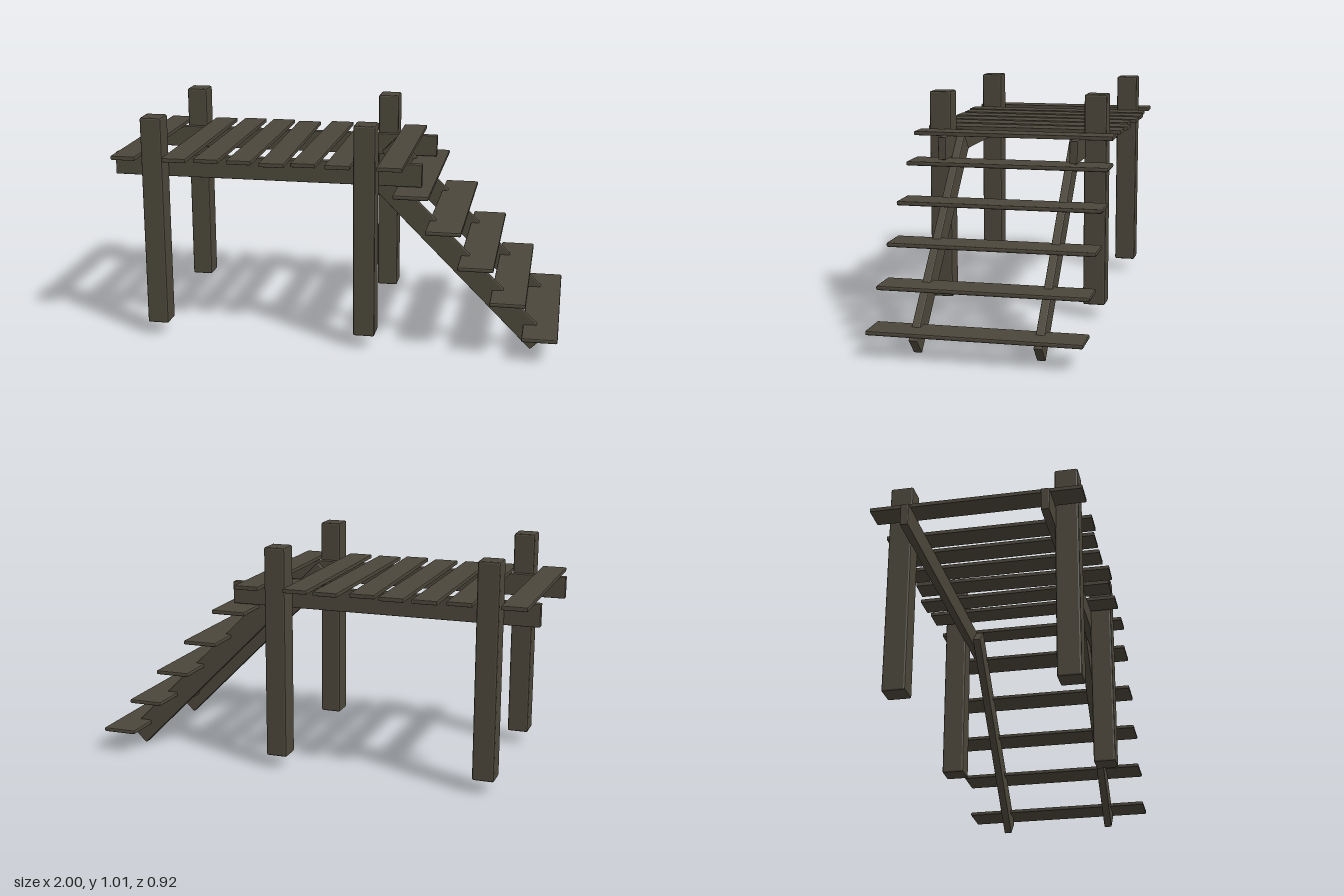
import * as THREE from 'three';
import { RoundedBoxGeometry } from 'three/addons/geometries/RoundedBoxGeometry.js';

export function createModel() {
  const group = new THREE.Group();
  group.name = 'raisedDeck';
  const wood = new THREE.MeshStandardMaterial({ color: 0x4b463a });
  wood.name = 'weatheredWood';

  // Timber with softly bevelled edges
  function timber(name, size, position, bevel) {
    const geometry = new RoundedBoxGeometry(...size, 1, bevel);
    geometry.computeVertexNormals(); // flat facets
    const mesh = new THREE.Mesh(geometry, wood);
    mesh.name = name;
    mesh.position.set(...position);
    group.add(mesh);
    return mesh;
  }

  for (const side of [1, -1]) {
    const end = side > 0 ? 'Front' : 'Back';

    // Posts
    timber('leftPost' + end, [0.096, 0.95, 0.1], [0.147, 0.535, side * 0.355], 0.008);
    timber('rightPost' + end, [0.096, 0.95, 0.1], [-0.8, 0.535, side * 0.355], 0.008);

    // Beams carrying the deck
    timber('beam' + end, [1.385, 0.1, 0.035], [-0.308, 0.778, side * 0.293], 0.004);

    // Sloping stair stringers
    const stringer = timber('stringer' + end, [1.06, 0.1, 0.036], [0.535, 0.41, side * 0.259], 0.004);
    stringer.rotation.z = -Math.PI / 4;
  }

  // Deck planks, uneven: x centre, z centre, turn about y
  const planks = [
    [-0.92, -0.005, 0],
    [-0.69, -0.002, 0.002],
    [-0.546, -0.014, -0.003],
    [-0.4, -0.014, 0],
    [-0.257, 0.007, 0.018],
    [-0.11, -0.014, -0.012],
    [0.036, -0.005, 0],
    [0.261, -0.005, 0],
  ];
  planks.forEach(([x, z, turn], i) => {
    const plank = timber('deckPlank' + (i + 1), [0.109, 0.018, 0.893], [x, 0.833, z], 0.003);
    plank.rotation.y = turn;
  });

  // Stair treads
  for (let i = 0; i < 5; i++) {
    timber('tread' + (i + 1), [0.155, 0.019, 0.893], [0.352 + i * 0.1415, 0.714 - i * 0.152, -0.003], 0.006);
  }

  return group;
}
